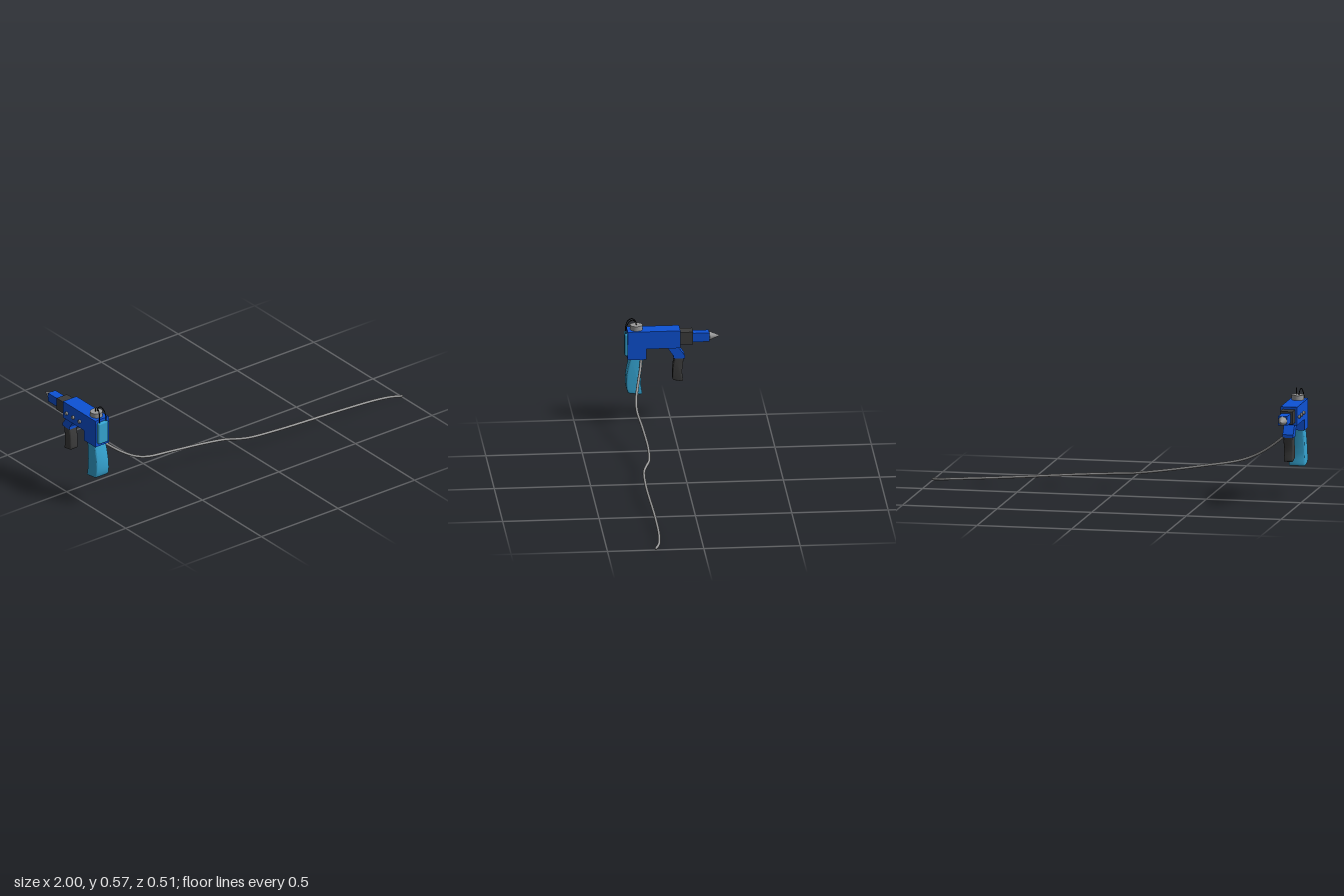
import * as THREE from 'three';
import { toCreasedNormals } from 'three/addons/utils/BufferGeometryUtils.js';
import { RoundedBoxGeometry } from 'three/addons/geometries/RoundedBoxGeometry.js';

const CX = -0.945; // centre plane of the tool
const mat = (color) => new THREE.MeshStandardMaterial({ color });
const blue = mat(0x0d52d6);
const cyan = mat(0x35a5d3);
const dark = mat(0x3c3c3c);
const grey = mat(0x999999);
const black = mat(0x111111);

export function createModel() {
  const model = new THREE.Group();

  const add = (name, geometry, material, x = 0, y = 0, z = 0) => {
    const mesh = new THREE.Mesh(geometry, material);
    mesh.name = name;
    mesh.position.set(x, y, z);
    model.add(mesh);
    return mesh;
  };

  // Side profile given as [z, y] points, extruded across x and centred on x = 0
  const sideProfile = (points, width, bevel = 0) => {
    const shape = new THREE.Shape(points.map(([z, y]) => new THREE.Vector2(-z, y)));
    const geometry = new THREE.ExtrudeGeometry(shape, {
      depth: width - 2 * bevel, bevelEnabled: bevel > 0, bevelSize: bevel,
      bevelThickness: bevel, bevelOffset: -bevel, bevelSegments: 3,
    });
    geometry.translate(0, 0, bevel - width / 2);
    geometry.rotateY(Math.PI / 2);
    return geometry;
  };

  // Smooth the edge of a profile between its points
  const smoothEdge = (points, n = 12) =>
    new THREE.SplineCurve(points.map((p) => new THREE.Vector2(...p)))
      .getPoints(n).map((p) => [p.x, p.y]);

  const tube = (points, radius, segments, sides) => new THREE.TubeGeometry(
    new THREE.CatmullRomCurve3(points.map((p) => new THREE.Vector3(...p))), segments, radius, sides);

  // Housing with its deeper rear block
  add('body', sideProfile([
    [0.228, 0.51], [0.229, 0.357], [0.132, 0.357], [0.132, 0.415], [-0.045, 0.415], [-0.045, 0.51],
  ], 0.088), blue, CX);

  // Nose: collar, barrel and pointed tip
  add('collar', new THREE.BoxGeometry(0.067, 0.067, 0.067), dark, CX, 0.4635, -0.0785);
  add('barrel', new THREE.BoxGeometry(0.048, 0.048, 0.086), blue, CX, 0.463, -0.154);
  const tip = add('tip', new THREE.ConeGeometry(0.023, 0.056, 32), grey, CX, 0.463, -0.227);
  tip.rotation.x = -Math.PI / 2;

  // Rear cover and top cap
  add('rearPanel', new RoundedBoxGeometry(0.064, 0.123, 0.03, 3, 0.009), cyan, CX, 0.4335, 0.228);
  add('topCap', new THREE.CylinderGeometry(0.0325, 0.0325, 0.028, 32), grey, CX, 0.521, 0.18);

  // Wires looping from the cap to the rear cover
  for (const side of [-1, 1]) {
    add('wire', tube([
      [CX + side * 0.005, 0.53, 0.18], [CX + side * 0.008, 0.552, 0.184],
      [CX + side * 0.012, 0.565, 0.202], [CX + side * 0.016, 0.552, 0.223],
      [CX + side * 0.02, 0.525, 0.233], [CX + side * 0.021, 0.49, 0.235],
    ], 0.0024, 28, 8), black);
  }

  // Rear grip, flaring toward the bottom
  const grip = sideProfile([
    ...smoothEdge([[0.213, 0.365], [0.226, 0.315], [0.235, 0.26], [0.236, 0.21], [0.229, 0.18], [0.222, 0.173]]),
    ...smoothEdge([[0.165, 0.165], [0.156, 0.167], [0.154, 0.178], [0.159, 0.22], [0.157, 0.28], [0.147, 0.365]]),
  ], 0.088, 0.008);
  const pos = grip.attributes.position;
  for (let i = 0; i < pos.count; i++) {
    const t = THREE.MathUtils.clamp((pos.getY(i) - 0.165) / 0.2, 0, 1);
    pos.setX(i, pos.getX(i) * (1 - 0.18 * t));
  }
  add('rearGrip', toCreasedNormals(grip, 0.6), cyan, CX);

  // Front grip on an angled bracket
  add('frontBracket', sideProfile([
    [0.025, 0.418], [-0.011, 0.366], [-0.011, 0.352], [-0.069, 0.352], [-0.069, 0.368], [-0.033, 0.418],
  ], 0.056), blue, CX);
  add('frontGrip', toCreasedNormals(sideProfile([
    ...smoothEdge([[-0.017, 0.358], [-0.009, 0.315], [-0.006, 0.27], [-0.006, 0.24], [-0.011, 0.232]]),
    ...smoothEdge([[-0.052, 0.224], [-0.058, 0.225], [-0.06, 0.235], [-0.056, 0.285], [-0.066, 0.358]]),
  ], 0.05, 0.007), 0.6), dark, CX);

  // Row of round studs on the right side
  for (const z of [-0.01, 0.045, 0.1]) {
    const stud = add('sideStud', new THREE.CylinderGeometry(0.009, 0.009, 0.016, 20), grey, -0.992, 0.455, z);
    stud.rotation.z = Math.PI / 2;
  }

  // Long supply hose trailing away to the left
  const hosePoints = [
    [-0.925, 0.362, 0.157], [-0.89, 0.33, 0.162], [-0.79, 0.25, 0.187], [-0.71, 0.203, 0.202],
    [-0.63, 0.174, 0.204], [-0.45, 0.143, 0.19], [-0.23, 0.11, 0.18], [-0.1, 0.092, 0.188],
    [-0.045, 0.084, 0.207], [0.02, 0.078, 0.224], [0.2, 0.066, 0.231], [0.6, 0.037, 0.218],
    [0.84, 0.021, 0.218], [0.94, 0.013, 0.228], [0.997, 0.008, 0.248],
  ];
  add('hose', tube(hosePoints, 0.0068, 160, 12), grey);
  add('hoseEnd', new THREE.SphereGeometry(0.0068, 12, 8), grey, ...hosePoints.at(-1)).scale.setScalar(0.98);

  return model;
}
